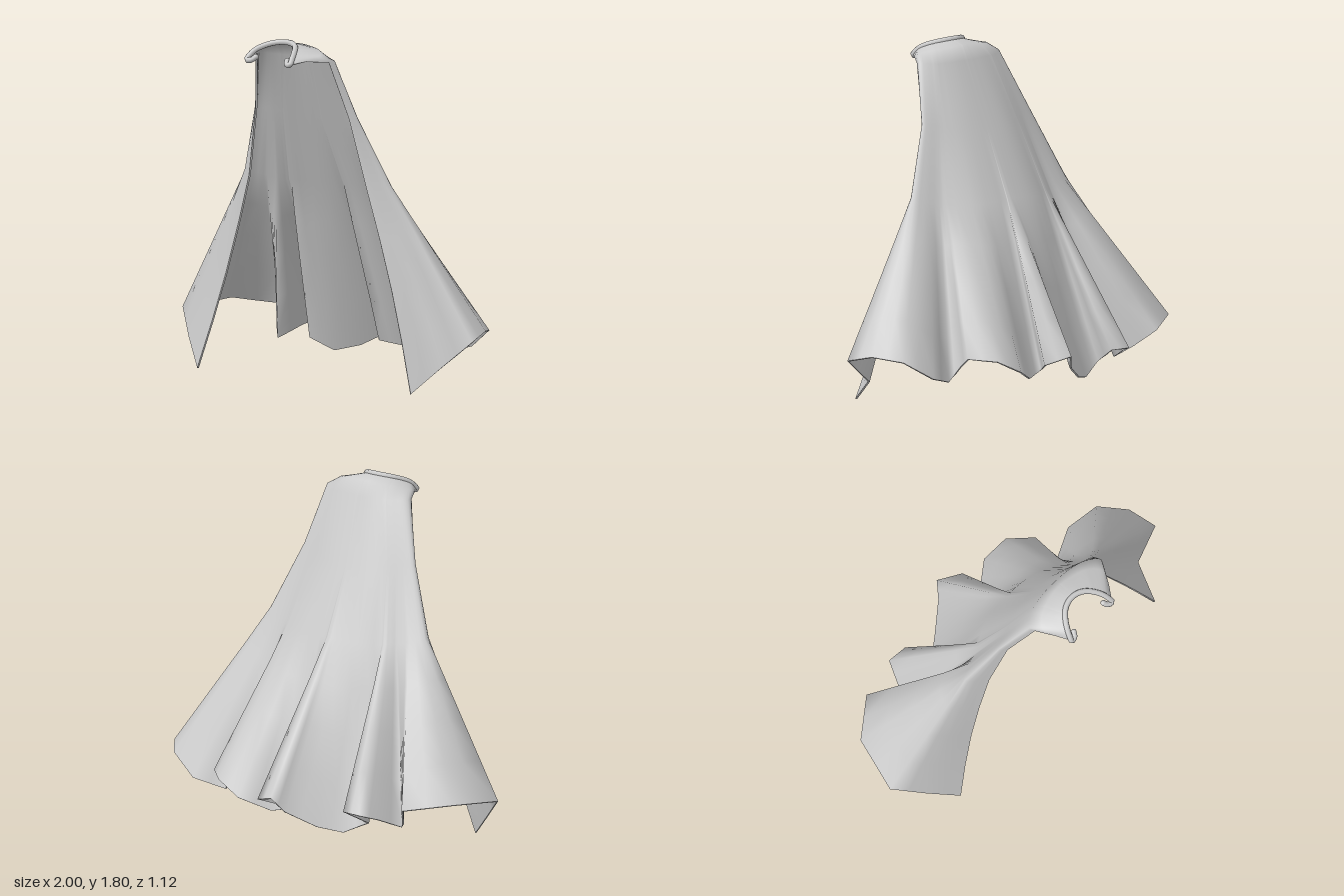
import * as THREE from 'three';

const material = new THREE.MeshStandardMaterial({ color: 0xcccccc, side: THREE.DoubleSide });
const THICKNESS = 0.009;

// Mirrored cross-section curve: half given from the right front edge to the centre back.
function section(half, cx) {
  const pts = half.map(([x, y, z]) => new THREE.Vector3(x + cx, y, z));
  for (let i = half.length - 2; i >= 0; i--) {
    const [x, y, z] = half[i];
    pts.push(new THREE.Vector3(cx - x, y, z));
  }
  return new THREE.CatmullRomCurve3(pts, false, 'centripetal');
}

// Neck rim, collar slope, shoulder, upper back and mid back.
const sections = [
  section([[-0.15, 1.695, 0.54], [-0.14, 1.735, 0.505], [-0.105, 1.765, 0.45], [-0.06, 1.78, 0.41], [0, 1.785, 0.395]], 0.02),
  section([[-0.195, 1.71, 0.47], [-0.225, 1.735, 0.40], [-0.17, 1.755, 0.34], [-0.08, 1.765, 0.31], [0, 1.77, 0.30]], 0.025),
  section([[-0.255, 1.70, 0.365], [-0.265, 1.705, 0.335], [-0.2, 1.70, 0.28], [-0.1, 1.70, 0.255], [0, 1.70, 0.25]], 0.03),
  section([[-0.325, 1.4, 0.26], [-0.355, 1.4, 0.225], [-0.27, 1.39, 0.185], [-0.14, 1.36, 0.13], [0, 1.36, 0.12]], 0.005),
  section([[-0.41, 1.03, 0.213], [-0.505, 1.05, 0.13], [-0.355, 1.01, 0.06], [-0.19, 1.0, -0.03], [0, 1.01, -0.05]], 0.002),
];

// Hem corners: x, y, z and the position (0 to 8) along the cross-sections above.
const hem = [
  [-0.70, 0, 0.29, 0], [-0.85, 0.14, 0.19, 0.5], [-1, 0.27, 0.07, 1],
  [-0.92, 0.3, -0.22, 1.35], [-0.71, 0.27, -0.38, 1.65], [-0.64, 0.18, -0.28, 1.85],
  [-0.58, 0.12, -0.2, 2], [-0.53, 0.18, -0.33, 2.12], [-0.48, 0.22, -0.44, 2.25],
  [-0.37, 0.22, -0.43, 2.36], [-0.41, 0.13, -0.27, 2.42], [-0.29, 0.07, -0.32, 2.85],
  [-0.18, 0.10, -0.40, 3.3], [-0.05, 0.18, -0.5, 3.75], [0, 0.26, -0.56, 3.93],
  [0.13, 0.22, -0.5, 4.05], [0.02, 0.15, -0.33, 4.1], [0.13, 0.13, -0.38, 4.5],
  [0.27, 0.2, -0.48, 4.95], [0.41, 0.27, -0.46, 5.45], [0.52, 0.28, -0.35, 5.84],
  [0.5, 0.22, -0.26, 5.98], [0.54, 0.14, -0.22, 6.1], [0.70, 0.19, -0.29, 6.38],
  [0.86, 0.29, -0.24, 6.65], [0.96, 0.31, -0.1, 6.85], [1, 0.27, 0.05, 7.1],
  [0.83, 0.13, 0.09, 7.5], [0.77, 0, 0.27, 8],
];

// One drape line from the neck to the hem, hanging a little straighter at the front edges.
function drapeLine([x, y, z, k]) {
  const path = sections.map((s) => s.getPoint(k / 8));
  const start = path[path.length - 1], end = new THREE.Vector3(x, y, z);
  const frontness = Math.max(0, Math.abs(k - 4) - 3);
  for (const t of [0.25, 0.5, 0.75, 1]) {
    const p = start.clone().lerp(end, t);
    p.z -= 0.025 * frontness * Math.sin(Math.PI * t);
    path.push(p);
  }
  return path;
}

function gridIndex(rows, cols) {
  const index = [];
  for (let j = 0; j < cols; j++) {
    for (let i = 0; i < rows; i++) {
      const a = j * (rows + 1) + i, b = a + rows + 1;
      index.push(a, b, a + 1, b, b + 1, a + 1);
    }
  }
  return index;
}

function surface(points, index) {
  const g = new THREE.BufferGeometry().setFromPoints(points);
  g.setIndex(index);
  g.computeVertexNormals();
  return g;
}

function addMesh(group, geometry, name) {
  const mesh = new THREE.Mesh(geometry, material);
  mesh.name = name;
  group.add(mesh);
}

export function createModel() {
  const group = new THREE.Group();
  group.name = 'cape';

  // Cloth columns, with two steps between hem corners
  const steps = 2, columns = [];
  hem.forEach((p, n) => {
    const q = hem[n + 1];
    for (let s = 0; s < (q ? steps : 1); s++) {
      columns.push(drapeLine(q ? p.map((v, c) => v + (q[c] - v) * s / steps) : p));
    }
  });
  const rows = columns[0].length - 1, cols = columns.length - 1;
  const outer = columns.flat(), index = gridIndex(rows, cols);
  const outside = surface(outer, index);
  addMesh(group, outside, 'outerCloth');

  // Lining, set in by the cloth thickness
  const normal = new THREE.Vector3();
  const inner = outer.map((p, i) =>
    p.clone().addScaledVector(normal.fromBufferAttribute(outside.attributes.normal, i), -THICKNESS));
  const flipped = [];
  for (let i = 0; i < index.length; i += 3) flipped.push(index[i], index[i + 2], index[i + 1]);
  addMesh(group, surface(inner, flipped), 'lining');

  // Border closing the cloth edge: down one front, along the hem, up the other, around the neck
  const loop = [];
  for (let i = 0; i < rows; i++) loop.push(i);
  for (let j = 0; j < cols; j++) loop.push(j * (rows + 1) + rows);
  for (let i = rows; i > 0; i--) loop.push(cols * (rows + 1) + i);
  for (let j = cols; j >= 0; j--) loop.push(j * (rows + 1));
  const border = loop.flatMap((v) => [inner[v], outer[v]]);
  addMesh(group, surface(border, gridIndex(1, loop.length - 1)), 'hemBorder');

  // Rolled neck rim with short hooked clasp ends
  const rim = Array.from({ length: 13 }, (_, i) => sections[0].getPoint(i / 12));
  const hook = (s) => [[0.11, 1.71, 0.515], [0.125, 1.695, 0.535]]
    .map(([x, y, z]) => new THREE.Vector3(0.02 + s * x, y, z));
  const rimCurve = new THREE.CatmullRomCurve3([...hook(-1), ...rim, ...hook(1).reverse()]);
  addMesh(group, new THREE.TubeGeometry(rimCurve, 60, 0.015, 8), 'neckRim');
  for (const s of [-1, 1]) {
    const tip = new THREE.SphereGeometry(0.015, 10, 8);
    const [end] = hook(s);
    tip.translate(end.x, end.y, end.z);
    addMesh(group, tip, s < 0 ? 'rightClaspTip' : 'leftClaspTip');
  }
  return group;
}
